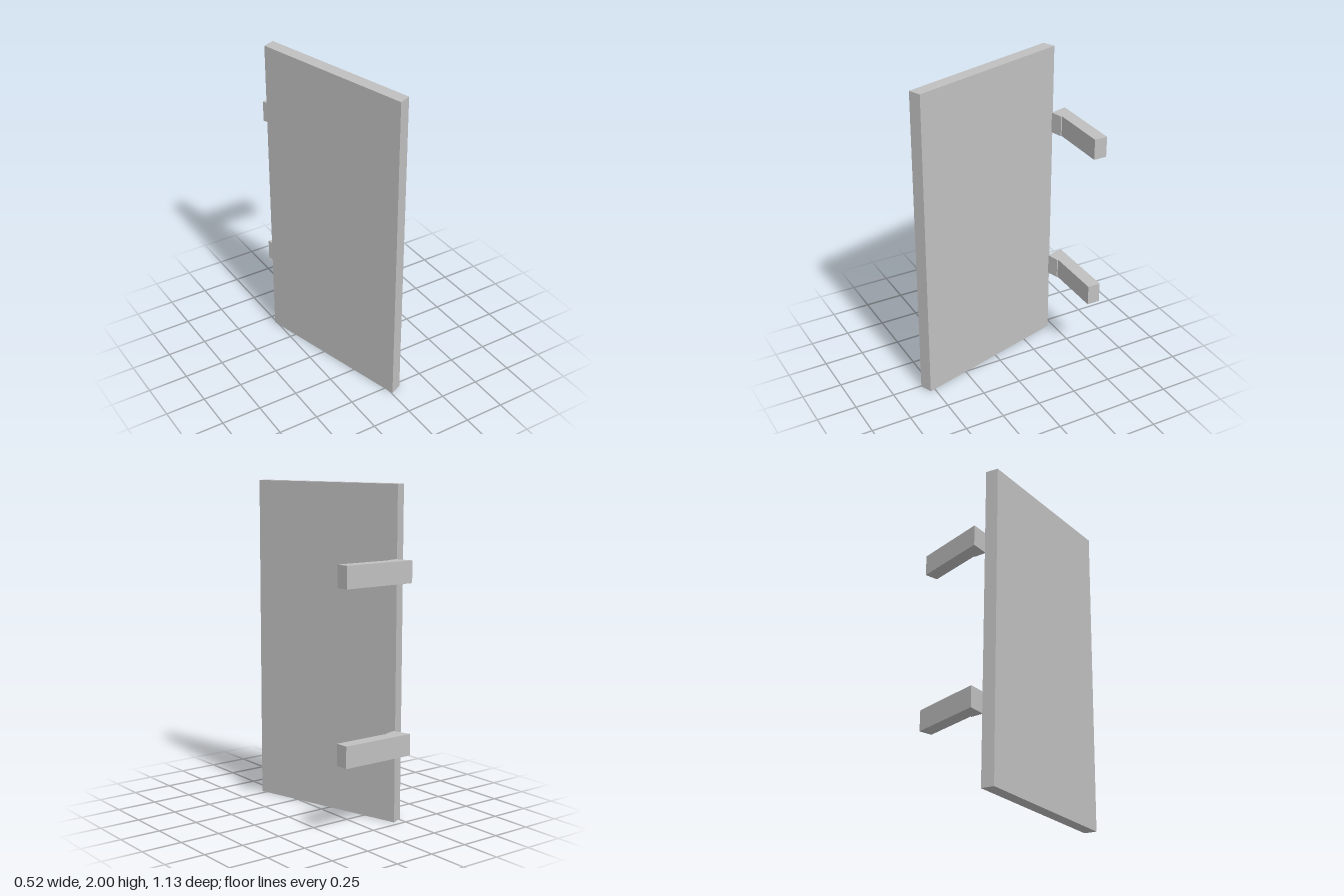
import * as THREE from 'three';

// Upright prism from a plan outline of [x, z] points
function prism(name, outline, y, height, material) {
  const shape = new THREE.Shape(outline.map(([x, z]) => new THREE.Vector2(x, -z)));
  const geometry = new THREE.ExtrudeGeometry(shape, { depth: height, bevelEnabled: false });
  geometry.rotateX(-Math.PI / 2);
  const mesh = new THREE.Mesh(geometry, material);
  mesh.name = name;
  mesh.position.y = y;
  return mesh;
}

export function createModel() {
  const group = new THREE.Group();
  group.name = 'hingedPanel';
  const grey = new THREE.MeshStandardMaterial({ color: 0xc0c0c0 });
  grey.name = 'grey';

  // Tall slanted panel
  const panel = [[-0.261, -0.435], [0.005, 0.563], [0.077, 0.532], [-0.188, -0.466]];
  group.add(prism('panel', panel, 0, 2, grey));

  // Two bracket arms behind the panel, each with a wedge where it meets the panel
  const arm = [
    [-0.216, -0.567], [-0.185, -0.458], [-0.108, -0.477],
    [-0.108, -0.484], [0.259, -0.484], [0.259, -0.567],
  ];
  group.add(prism('lowerArm', arm, 0.43, 0.13, grey));
  group.add(prism('upperArm', arm, 1.443, 0.13, grey));

  return group;
}
